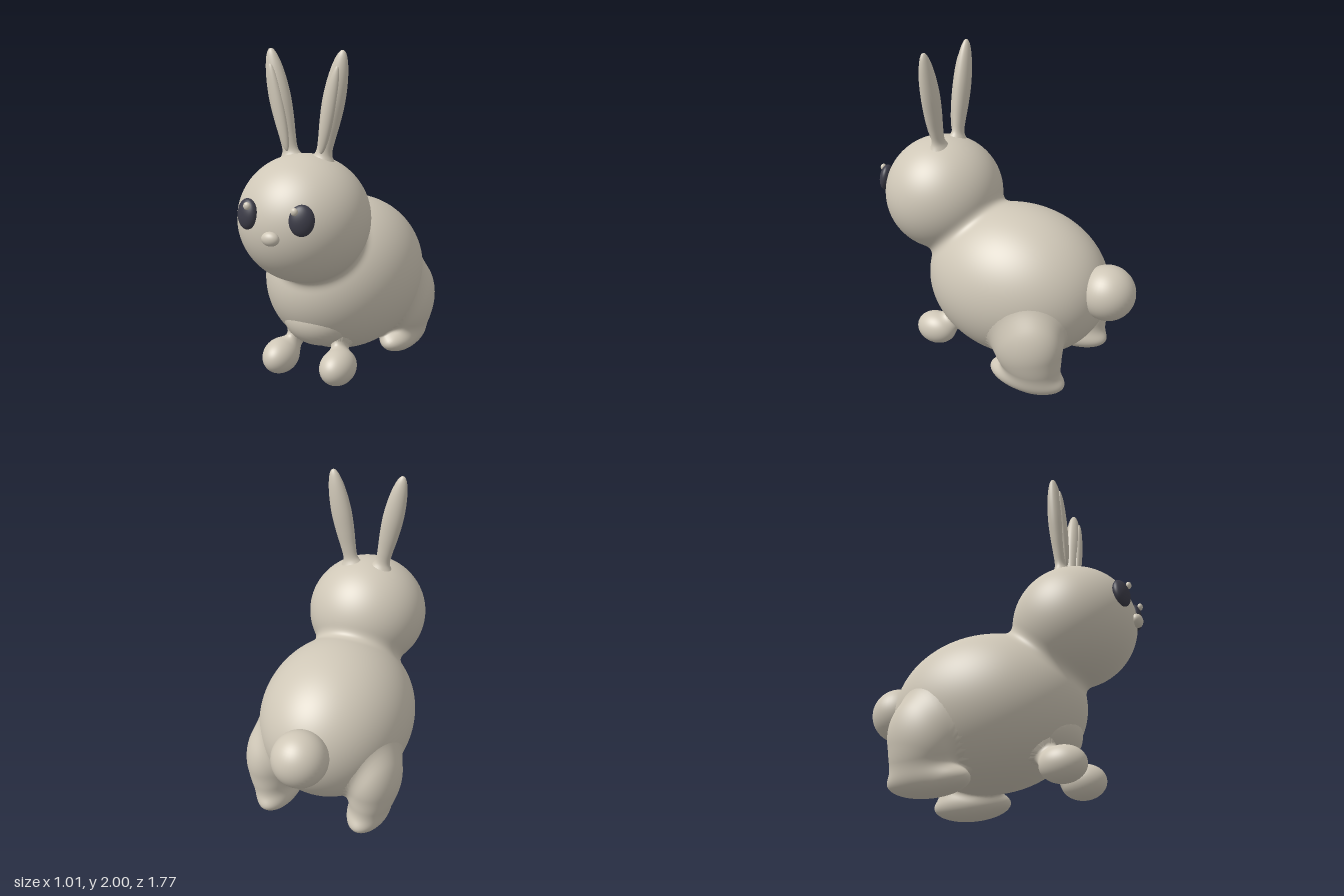
import * as THREE from 'three';
import { mergeVertices } from 'three/addons/utils/BufferGeometryUtils.js';

const fur = new THREE.MeshStandardMaterial({ color: 0xcfc7b7 });
fur.name = 'fur';
const dark = new THREE.MeshStandardMaterial({ color: 0x3c3c48 });
dark.name = 'eyeDark';

const BODY = { c: [0, 0.57, -0.09], r: [0.48, 0.485, 0.6] };
const HEAD = { c: [0, 1.05, 0.465], r: [0.385, 0.372, 0.378] };
// slightly shrunken body, so that blended limbs sink under the torso skin
const INNER_BODY = { c: BODY.c, r: BODY.r.map((v) => v - 0.006) };

// approximate signed distance to an ellipsoid
function distance(p, { c, r }) {
  let a = 0, b = 0;
  for (let i = 0; i < 3; i++) {
    const d = (p.getComponent(i) - c[i]) / r[i];
    a += d * d;
    b += (d / r[i]) ** 2;
  }
  a = Math.sqrt(a);
  return b < 1e-9 ? -Math.min(...r) : (a * (a - 1)) / Math.sqrt(b);
}

function smoothMin(a, b, k) {
  const h = Math.max(k - Math.abs(a - b), 0) / k;
  return Math.min(a, b) - h * h * k * 0.25;
}

// sphere whose vertices are pushed out from a centre to the blended skin of several ellipsoids
function blend(name, centre, blobs, k, detail, reach) {
  const geo = new THREE.IcosahedronGeometry(1, detail);
  geo.deleteAttribute('uv');
  geo.deleteAttribute('normal');
  const merged = mergeVertices(geo, 1e-5);
  const pos = merged.attributes.position;
  const o = new THREE.Vector3(...centre), dir = new THREE.Vector3(), p = new THREE.Vector3();
  const field = (t) => {
    p.copy(o).addScaledVector(dir, t);
    return blobs.map((b) => distance(p, b)).reduce((x, y) => smoothMin(x, y, k));
  };
  for (let i = 0; i < pos.count; i++) {
    dir.fromBufferAttribute(pos, i).normalize();
    let hi = 0.01;
    while (hi < reach && field(hi) < 0) hi += 0.01;
    let lo = hi - 0.01;
    for (let n = 0; n < 10; n++) {
      const mid = (lo + hi) / 2;
      if (field(mid) < 0) lo = mid; else hi = mid;
    }
    p.copy(o).addScaledVector(dir, hi);
    pos.setXYZ(i, p.x, p.y, p.z);
  }
  merged.computeVertexNormals();
  const mesh = new THREE.Mesh(merged, fur);
  mesh.name = name;
  return mesh;
}

function ellipsoid(name, material, c, r, rot = [0, 0, 0]) {
  const mesh = new THREE.Mesh(new THREE.SphereGeometry(1, 40, 28), material);
  mesh.name = name;
  mesh.position.set(...c);
  mesh.scale.set(...r);
  mesh.rotation.set(...rot);
  return mesh;
}

// upright ear: flared root, slim leaf shape, narrow tip
function ear(side, label) {
  const group = new THREE.Group();
  group.name = label + 'Ear';
  const outline = [[0.1, -0.03], [0.065, 0.01], [0.047, 0.05], [0.05, 0.12], [0.06, 0.22], [0.066, 0.33],
    [0.062, 0.43], [0.05, 0.52], [0.033, 0.585], [0.015, 0.618], [0, 0.625]];
  const curve = new THREE.SplineCurve(outline.map(([x, y]) => new THREE.Vector2(x, y)));
  const points = curve.getPoints(50).map((v) => new THREE.Vector2(Math.max(v.x, 0), v.y));
  const outer = new THREE.Mesh(new THREE.LatheGeometry(points, 32), fur);
  outer.name = label + 'OuterEar';
  outer.scale.z = 0.78;
  group.add(outer, ellipsoid(label + 'InnerEar', fur, [0, 0.29, 0.038], [0.037, 0.25, 0.026]));
  group.position.set(side * 0.1, 1.39, 0.425);
  group.rotation.z = -side * 0.205;
  return group;
}

export function createModel() {
  const model = new THREE.Group();
  model.name = 'rabbit';

  // torso and head as one skin with a soft neck crease
  model.add(blend('bodyAndHead', [0, 0.83, 0.24], [BODY, HEAD], 0.07, 40, 1.5));
  model.add(ellipsoid('chest', fur, [0, 0.385, 0.26], [0.24, 0.185, 0.218]));
  model.add(ellipsoid('tail', fur, [0, 0.64, -0.715], [0.17, 0.17, 0.17]));
  model.add(ellipsoid('nose', fur, [0, 1.025, 0.85], [0.053, 0.04, 0.035]));

  for (const s of [1, -1]) {
    const label = s > 0 ? 'left' : 'right';

    // hind leg: thigh and long foot melting into the body
    const thigh = { c: [s * 0.335, 0.36, -0.35], r: [0.168, 0.26, 0.23] };
    const ankle = { c: [s * 0.325, 0.2, -0.4], r: [0.115, 0.14, 0.16] };
    const foot = { c: [s * 0.305, 0.098, -0.335], r: [0.125, 0.095, 0.255] };
    model.add(blend(label + 'HindLeg', [s * 0.325, 0.17, -0.35], [thigh, ankle, foot, INNER_BODY], 0.06, 24, 0.55));

    // front leg: round paw on a slim wrist
    const paw = { c: [s * 0.195, 0.142, 0.425], r: [0.106, 0.107, 0.138] };
    const wrist = { c: [s * 0.155, 0.23, 0.31], r: [0.042, 0.075, 0.07] };
    model.add(blend(label + 'FrontLeg', [s * 0.17, 0.2, 0.345], [paw, wrist, INNER_BODY], 0.05, 20, 0.3));

    // face
    model.add(ellipsoid(label + 'Eye', dark, [s * 0.168, 1.135, 0.805], [0.07, 0.086, 0.04], [-0.15, s * 0.35, 0]));
    model.add(ellipsoid(label + 'EyeGlint', fur, [s * 0.145, 1.19, 0.845], [0.021, 0.022, 0.016]));
    model.add(ear(s, label));
  }
  return model;
}
